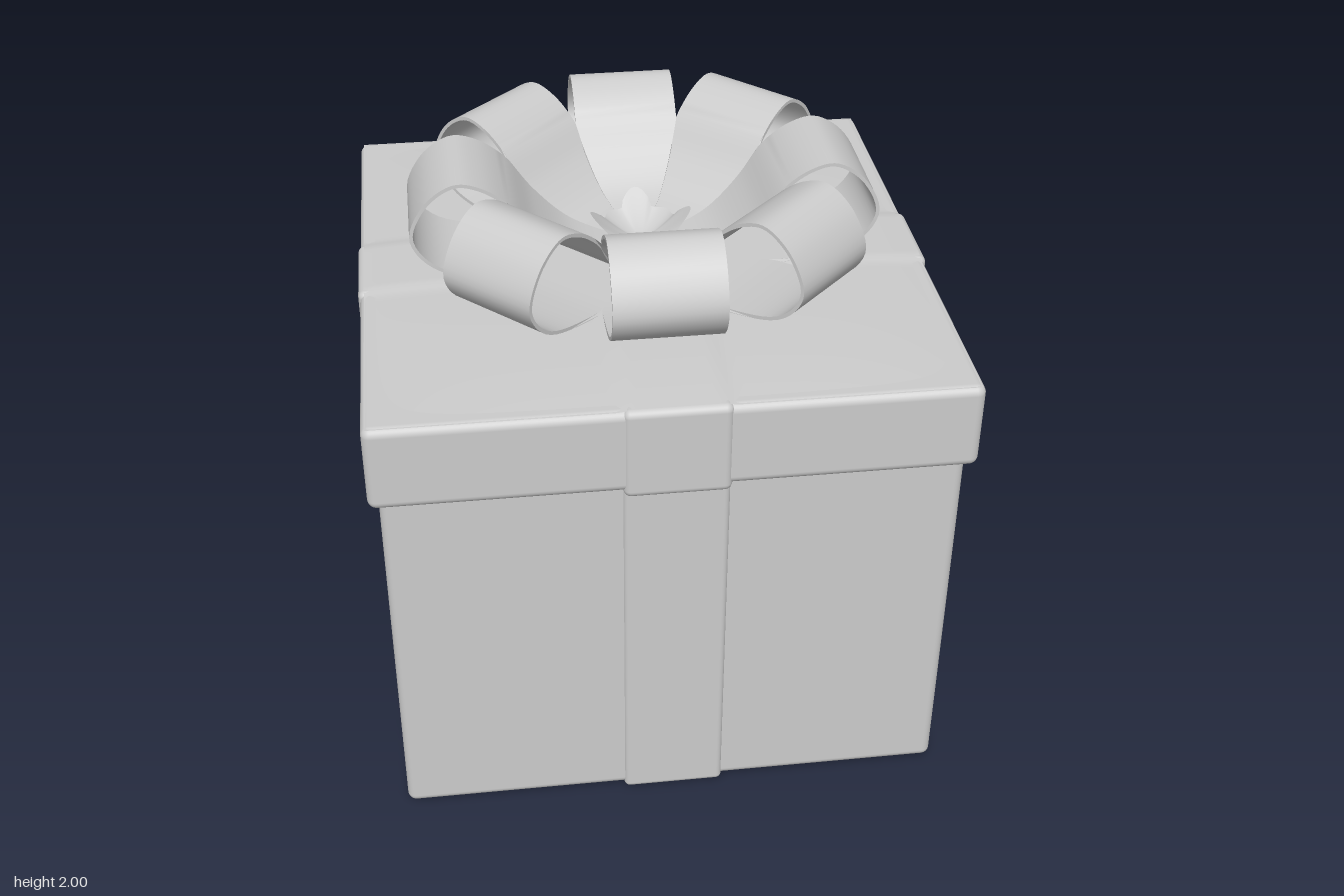
import * as THREE from 'three';
import { toCreasedNormals } from 'three/addons/utils/BufferGeometryUtils.js';
import { RoundedBoxGeometry } from 'three/addons/geometries/RoundedBoxGeometry.js';

const grey = new THREE.MeshStandardMaterial({ color: 0xcccccc });
const greyThin = new THREE.MeshStandardMaterial({ color: 0xcccccc, side: THREE.DoubleSide });

const RIBBON = 0.34; // ribbon width

function part(parent, name, geometry, material = grey) {
  const mesh = new THREE.Mesh(geometry, material);
  mesh.name = name;
  parent.add(mesh);
  return mesh;
}

// Rounded block between two heights
function block(parent, name, w, d, y0, y1, r) {
  part(parent, name, new RoundedBoxGeometry(w, y1 - y0, d, 4, r)).position.y = (y0 + y1) / 2;
}

// Gently domed lid surface with the crossing ribbons swelling out of it
function lidTopGeometry() {
  const size = 1.88, geo = new THREE.PlaneGeometry(size, size, 80, 80).rotateX(-Math.PI / 2);
  const pos = geo.attributes.position;
  const swell = (t) => 1 - THREE.MathUtils.smoothstep(Math.abs(t), RIBBON / 2 - 0.03, RIBBON / 2 + 0.01);
  const fall = (t) => 1 - Math.pow(Math.abs(t) / (size / 2), 4);
  for (let i = 0; i < pos.count; i++) {
    const x = pos.getX(i), z = pos.getZ(i);
    pos.setY(i, 1.604 + 0.02 * fall(x) * fall(z) + 0.008 * Math.max(swell(x), swell(z)));
  }
  geo.computeVertexNormals();
  return geo;
}

// One bow loop: a thin strip bent along a profile, narrowing to a wedge at the centre
function loopGeometry() {
  const path = new THREE.SplineCurve([
    [0.03, 1.643], [0.25, 1.643], [0.48, 1.648], [0.68, 1.69], [0.77, 1.80], [0.725, 1.92],
    [0.63, 1.99], [0.54, 1.975], [0.45, 1.91], [0.36, 1.80], [0.25, 1.71], [0.13, 1.67], [0.03, 1.66],
  ].map(([r, y]) => new THREE.Vector2(r, y)));
  const n = 72, half = 0.006, outer = [], inner = [];
  for (let i = 0; i <= n; i++) {
    const p = path.getPoint(i / n), t = path.getTangent(i / n);
    outer.push(new THREE.Vector2(p.x + t.y * half, p.y - t.x * half));
    inner.unshift(new THREE.Vector2(p.x - t.y * half, p.y + t.x * half));
  }
  const geo = new THREE.ExtrudeGeometry(new THREE.Shape([...outer, ...inner]), { depth: 1, bevelEnabled: false });
  const pos = geo.attributes.position, wedge = Math.tan(Math.PI / 8);
  for (let i = 0; i < pos.count; i++) {
    const w = Math.min(0.178, Math.max(0.005, pos.getX(i)) * wedge);
    pos.setZ(i, pos.getZ(i) > 0.5 ? w : -w);
  }
  return toCreasedNormals(geo, 0.7);
}

// Small flared crown in the middle of the bow, with four tall tips and four short ones
function crownGeometry() {
  const rows = 10, cols = 96;
  const geo = new THREE.PlaneGeometry(1, 1, cols, rows);
  const pos = geo.attributes.position;
  for (let i = 0; i < pos.count; i++) {
    const a = (i % (cols + 1)) / cols * Math.PI * 2;
    const t = Math.floor(i / (cols + 1)) / rows;
    const tall = Math.pow(Math.abs(Math.cos(2 * a)), 3) * (Math.cos(4 * a) > 0 && Math.cos(2 * a) ** 2 > 0.5 ? 1 : 0.6);
    const low = Math.pow(Math.abs(Math.sin(2 * a)), 4);
    const r = 0.02 + t * (0.09 + 0.06 * tall + 0.03 * low);
    const y = 1.665 + Math.pow(t, 1.4) * (0.035 + 0.07 * tall + 0.02 * low);
    pos.setXYZ(i, r * Math.cos(a), y, r * Math.sin(a));
  }
  geo.computeVertexNormals();
  return geo;
}

export function createModel() {
  const model = new THREE.Group();
  model.name = 'giftBox';

  // Box and lid
  block(model, 'boxBody', 1.84, 1.84, 0.01, 1.4, 0.03);
  block(model, 'lid', 1.905, 1.905, 1.31, 1.607, 0.03);
  part(model, 'lidTop', lidTopGeometry());

  // Ribbons wrapped around the box and over the lid, in both directions
  for (const turn of [0, 1]) {
    const ribbon = new THREE.Group();
    ribbon.name = turn ? 'sideRibbon' : 'frontRibbon';
    ribbon.rotation.y = turn * Math.PI / 2;
    block(ribbon, 'bodyRibbon', RIBBON, 1.862, 0, 1.38, 0.02);
    block(ribbon, 'lidRibbon', RIBBON, 1.92, 1.29, 1.612, 0.025);
    model.add(ribbon);
  }

  // Bow with eight loops around a small crown
  const bow = new THREE.Group();
  bow.name = 'bow';
  const loop = loopGeometry();
  for (let i = 0; i < 8; i++) {
    const mesh = part(bow, 'bowLoop', loop, greyThin);
    mesh.rotation.y = i * Math.PI / 4;
    if (i % 4 === 2) mesh.scale.x = 0.975;
  }
  part(bow, 'bowCrown', crownGeometry(), greyThin);
  model.add(bow);

  return model;
}
